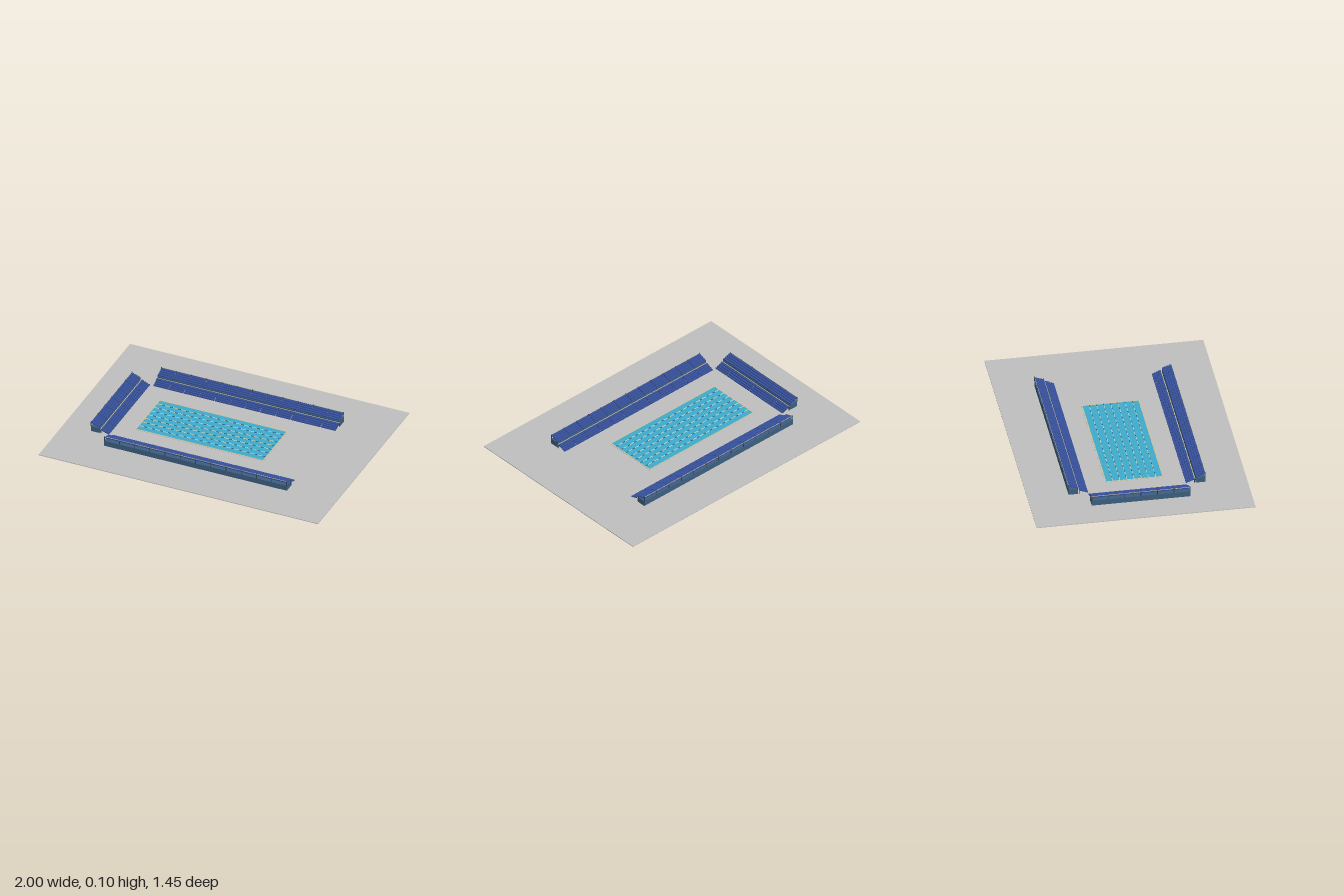
import * as THREE from 'three';
import { mergeGeometries } from 'three/addons/utils/BufferGeometryUtils.js';

const material = (name, color) => Object.assign(new THREE.MeshStandardMaterial({ color }), { name });

const mats = {
  deck: material('deckGrey', 0xc0c0c0),
  water: material('waterBlue', 0x40abcd),
  rim: material('rimBeige', 0xc9c2a4),
  seat: material('seatBlue', 0x36509a),
  wall: material('wallSlate', 0x3d5f80),
  post: material('postDark', 0x3a404c),
  float: material('floatCream', 0xe4e2c4),
  floatBlue: material('floatBlue', 0x2a4f8c),
};

const DECK_TOP = 0.027;

// Box given by its minimum and maximum corners
function block(x0, y0, z0, x1, y1, z1) {
  const g = new THREE.BoxGeometry(x1 - x0, y1 - y0, z1 - z0);
  return g.translate((x0 + x1) / 2, (y0 + y1) / 2, (z0 + z1) / 2);
}

function add(parent, name, geometries, mat) {
  const mesh = new THREE.Mesh(mergeGeometries([geometries].flat()), mat);
  mesh.name = name;
  parent.add(mesh);
  return mesh;
}

// Thin flight of seat steps, rising backwards (towards -z) from y0 to y1
function seatSteps(x0, width, d0, d1, y0, y1) {
  const steps = 4, t = 0.004;
  const run = (d1 - d0) / steps, rise = (y1 - y0 - t) / steps;
  const shape = new THREE.Shape();
  shape.moveTo(d0, y0);
  for (let i = 0; i < steps; i++) {
    shape.lineTo(d1 - run * (steps - i - 0.0), y0 + t + rise * (i + 0.6));
    shape.lineTo(d0 + run * (i + 1), y0 + t + rise * (i + 0.6));
  }
  shape.lineTo(d1, y1);
  shape.lineTo(d1, y1 - 2 * t);
  const g = new THREE.ExtrudeGeometry(shape, { depth: width, bevelEnabled: false });
  return g.rotateY(Math.PI / 2).translate(x0, 0, 0);
}

// Two-tier stand facing +z, front edge on z = 0
function makeStand(name, sections) {
  const stand = new THREE.Group();
  stand.name = name;
  const pitch = 0.109, half = (sections * pitch) / 2;
  const lower = [], upper = [], posts = [];
  for (let i = 0; i <= sections; i++) {
    const x = -half + i * pitch;
    if (i < sections) {
      lower.push(seatSteps(x + 0.002, pitch - 0.004, 0, 0.056, 0.029, 0.058));
      upper.push(seatSteps(x + 0.002, pitch - 0.004, 0.066, 0.128, 0.069, 0.095));
    }
    // Supports under the rear edge of each tier
    const px = Math.min(Math.max(x, -half + 0.002), half - 0.002);
    posts.push(block(px - 0.002, DECK_TOP, -0.059, px + 0.002, 0.056, -0.055));
    posts.push(block(px - 0.002, 0.064, -0.129, px + 0.002, 0.1, -0.126));
    posts.push(block(px - 0.002, 0.064, -0.07, px + 0.002, 0.072, -0.067));
  }
  add(stand, 'lowerSeats', lower, mats.seat);
  add(stand, 'upperSeats', upper, mats.seat);
  add(stand, 'posts', posts, mats.post);
  add(stand, 'baseWall', block(-half, DECK_TOP, -0.128, half, 0.065, -0.066), mats.wall);
  add(stand, 'rails', [
    block(-half, 0.096, -0.129, half, 0.099, -0.127),
    block(-half, 0.055, -0.062, half, 0.058, -0.058),
  ], mats.rim);
  return stand;
}

export function createModel() {
  const model = new THREE.Group();
  model.name = 'swimmingPool';

  // Deck and the basin hanging below it
  add(model, 'deck', block(-1, 0.022, -0.725, 1, DECK_TOP, 0.725), mats.deck);
  add(model, 'basin', block(-0.545, 0, -0.19, 0.365, 0.023, 0.19), mats.deck);

  // Water and its rim
  const x0 = -0.542, x1 = 0.362, w = 0.185, r = 0.009;
  add(model, 'water', block(x0, DECK_TOP - 0.002, -w, x1, DECK_TOP + 0.001, w), mats.water);
  add(model, 'rim', [
    block(x0 - r, 0.025, -w - r, x1 + r, 0.029, -w),
    block(x0 - r, 0.025, w, x1 + r, 0.029, w + r),
    block(x0 - r, 0.025, -w, x0, 0.029, w),
    block(x1, 0.025, -w, x1 + r, 0.029, w),
  ], mats.rim);

  // Lane ropes with alternating floats
  const light = [], dark = [];
  const units = 16, step = (x1 - x0) / units;
  for (let lane = -3; lane <= 3; lane++) {
    const z = lane * 0.0475;
    for (let i = 0; i < units; i++) {
      const a = x0 + i * step, b = a + step * 0.62;
      light.push(block(a, 0.027, z - 0.0017, b, 0.0305, z + 0.0017));
      dark.push(block(b, 0.027, z - 0.0017, a + step, 0.0305, z + 0.0017));
    }
  }
  add(model, 'lightFloats', light, mats.float);
  add(model, 'blueFloats', dark, mats.floatBlue);

  // Stands on three sides
  const back = makeStand('backStand', 12);
  back.position.z = -0.326;
  const front = makeStand('frontStand', 12);
  front.rotation.y = Math.PI;
  front.position.z = 0.324;
  const side = makeStand('rightStand', 6);
  side.rotation.y = Math.PI / 2;
  side.position.x = -0.678;
  model.add(back, front, side);

  return model;
}
